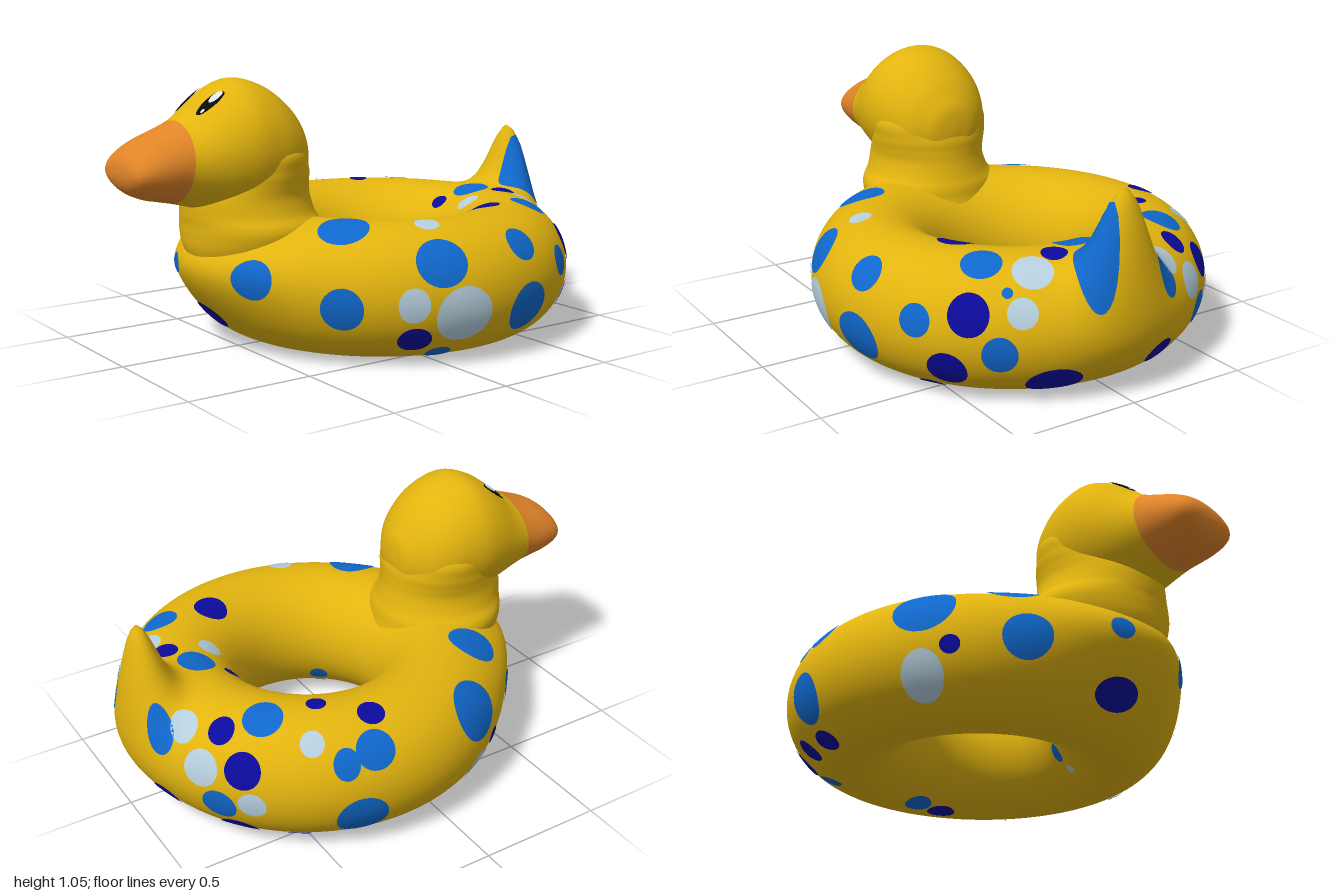
import * as THREE from 'three';
import { mergeVertices } from 'three/addons/utils/BufferGeometryUtils.js';

const RING_X = 0.18, RING_R = 0.53, TUBE = 0.255, TUBE_Y = 0.26;
const RAD = Math.PI / 180;
const bell = (d, width) => Math.exp(-((d / width) ** 2));

// Ring body: u runs around the ring (0 = tail), v around the tube (0 = outside, 90 = top)
function ringPoint(u, v) {
  const turn = Math.atan2(Math.sin(u), Math.cos(u));
  const fromFront = Math.PI - Math.abs(turn);
  const deg = Math.atan2(Math.sin(v), Math.cos(v)) / RAD;
  const tail = bell(turn, 0.18), chest = bell(fromFront, 0.5);
  const r = RING_R + TUBE * Math.cos(v)
    + 0.035 * bell(turn, 0.3) * bell(deg - 10, 35)
    + 0.12 * chest * bell(deg - 25, 40);
  const y = TUBE_Y + TUBE_Y * Math.sin(v) + 0.34 * tail * bell(deg - 42, deg < 42 ? 28 : 22);
  return new THREE.Vector3(RING_X + r * Math.cos(u), y, -r * Math.sin(u));
}

// Sections along the head: x, top, bottom, half width
const HEAD = [
  [-0.215, 0.74, 0.74, 0], [-0.225, 0.82, 0.66, 0.08], [-0.25, 0.87, 0.62, 0.13],
  [-0.3, 0.94, 0.56, 0.19], [-0.38, 1.005, 0.54, 0.232], [-0.46, 1.04, 0.53, 0.25],
  [-0.53, 1.047, 0.53, 0.255], [-0.6, 1.02, 0.54, 0.243], [-0.66, 0.98, 0.555, 0.225],
  [-0.72, 0.935, 0.575, 0.205], [-0.78, 0.9, 0.592, 0.188], [-0.85, 0.867, 0.605, 0.18],
  [-0.9, 0.845, 0.615, 0.173], [-0.95, 0.815, 0.635, 0.16], [-0.98, 0.785, 0.66, 0.138],
  [-0.995, 0.755, 0.69, 0.095], [-1.0, 0.72, 0.72, 0],
];
// Sections up the neck: y, back x, front x, half width
const NECK = [
  [0.3, -0.2, -0.66, 0.2], [0.4, -0.16, -0.7, 0.27], [0.46, -0.168, -0.708, 0.29],
  [0.5, -0.175, -0.71, 0.285], [0.54, -0.19, -0.715, 0.256], [0.6, -0.205, -0.715, 0.238],
  [0.65, -0.21, -0.69, 0.24], [0.7, -0.215, -0.66, 0.245], [0.78, -0.25, -0.6, 0.235],
  [0.86, -0.35, -0.5, 0.1],
];

// Smooth interpolation of a section table; t counts in rows
function sections(table) {
  const n = table.length - 1;
  const along = new THREE.CatmullRomCurve3(table.map(s => new THREE.Vector3(s[0], 0, 0)), false, 'catmullrom');
  const size = new THREE.CatmullRomCurve3(table.map(s => new THREE.Vector3(s[1], s[2], s[3])), false, 'catmullrom');
  return t => {
    const k = THREE.MathUtils.clamp(t / n, 0, 1), s = size.getPoint(k);
    return [along.getPoint(k).x, (s.x + s.y) / 2, (s.x - s.y) / 2, s.z];
  };
}
const headSection = sections(HEAD), neckSection = sections(NECK);

function headPoint(t, a) {
  const [x, mid, half, wide] = headSection(t);
  const y = mid + half * Math.cos(a);
  return new THREE.Vector3(x + 0.1 * (y - 0.74) * bell(x + 0.78, 0.08), y, wide * Math.sin(a));
}
function neckPoint(t, a) {
  const [y, mid, half, wide] = neckSection(t);
  return new THREE.Vector3(mid + half * Math.cos(a), y, wide * Math.sin(a));
}

// Closed grid over a surface rule, welded for smooth normals
function surface(rule, a1, na, nb) {
  const pos = [], index = [], row = nb + 1;
  for (let i = 0; i <= na; i++)
    for (let j = 0; j <= nb; j++)
      pos.push(...rule((a1 * i) / na, (2 * Math.PI * j) / nb).toArray());
  for (let i = 0; i < na; i++)
    for (let j = 0; j < nb; j++) {
      const p = i * row + j, q = p + row;
      index.push(p, q, q + 1, p, q + 1, p + 1);
    }
  let g = new THREE.BufferGeometry();
  g.setAttribute('position', new THREE.Float32BufferAttribute(pos, 3));
  g.setIndex(index);
  g = mergeVertices(g, 1e-5);
  g.computeVertexNormals();
  return g;
}

// Thin oval of paint that follows a surface rule
function patch(rule, a0, b0, ra, rb, lift = 0.004) {
  const rings = 5, segs = 28, pos = [], index = [], e = 1e-3;
  const lifted = (a, b) => {
    const da = rule(a + e, b).sub(rule(a - e, b)), db = rule(a, b + e).sub(rule(a, b - e));
    return rule(a, b).addScaledVector(da.cross(db).normalize(), lift);
  };
  pos.push(...lifted(a0, b0).toArray());
  for (let k = 1; k <= rings; k++)
    for (let s = 0; s < segs; s++) {
      const q = (2 * Math.PI * s) / segs, f = k / rings;
      pos.push(...lifted(a0 + ra * f * Math.cos(q), b0 + rb * f * Math.sin(q)).toArray());
    }
  for (let s = 0; s < segs; s++) {
    const n = (s + 1) % segs;
    index.push(0, 1 + s, 1 + n);
    for (let k = 0; k < rings - 1; k++) {
      const p = 1 + k * segs, q = p + segs;
      index.push(p + s, q + s, q + n, p + s, q + n, p + n);
    }
  }
  const g = new THREE.BufferGeometry();
  g.setAttribute('position', new THREE.Float32BufferAttribute(pos, 3));
  g.setIndex(index);
  g.computeVertexNormals();
  return g;
}

// Ways to place a spot on the ring
const clampUnit = n => THREE.MathUtils.clamp(n, -1, 1);
const PLACE = {
  angle: (u, v) => [u * RAD, v * RAD],
  top: (x, z) => [Math.atan2(-z, x - RING_X), Math.acos(clampUnit((Math.hypot(x - RING_X, z) - RING_R) / TUBE))],
  front: (x, y) => {
    const v = Math.asin(clampUnit((y - TUBE_Y) / TUBE_Y));
    return [-Math.acos(clampUnit((x - RING_X) / (RING_R + TUBE * Math.cos(v)))), v];
  },
  back: (z, y) => {
    const v = Math.asin(clampUnit((y - TUBE_Y) / TUBE_Y));
    return [Math.asin(clampUnit(-z / (RING_R + TUBE * Math.cos(v)))), v];
  },
};

// Spots per colour: two coordinates, then radius around the ring and around the tube
const SPOTS = {
  blue: {
    front: [[-0.385, 0.235, 0.08, 0.08], [-0.055, 0.4, 0.1, 0.095], [0.325, 0.425, 0.07, 0.07],
      [0.585, 0.32, 0.06, 0.06], [0.33, 0.185, 0.105, 0.1], [0.815, 0.22, 0.065, 0.07],
      [-0.015, 0.04, 0.05, 0.05], [0.925, 0.38, 0.042, 0.045], [0.78, 0.43, 0.02, 0.02]],
    top: [[-0.28, 0.41, 0.095, 0.095], [0.64, 0.42, 0.075, 0.075], [0.66, 0.04, 0.075, 0.075],
      [0.62, -0.42, 0.075, 0.08], [0.32, -0.71, 0.075, 0.075], [-0.17, -0.66, 0.12, 0.12],
      [-0.345, -0.38, 0.095, 0.095]],
    back: [[-0.185, 0.38, 0.057, 0.06], [-0.44, 0.21, 0.07, 0.065], [-0.74, 0.17, 0.1, 0.1],
      [-0.7, 0.4, 0.05, 0.06], [-0.35, 0.015, 0.045, 0.045]],
    angle: [[200, 15, 0.075, 0.075], [146, -1, 0.09, 0.085], [170, 15, 0.045, 0.04],
      [-10, -107, 0.06, 0.05], [232, -148, 0.04, 0.04], [-9, 42, 0.068, 0.135]],
  },
  navy: {
    front: [[0.73, 0.36, 0.075, 0.078], [-0.145, 0.11, 0.065, 0.06], [0.665, 0.14, 0.075, 0.08],
      [0.525, 0.03, 0.055, 0.06]],
    top: [[0.42, 0.39, 0.07, 0.07], [0.73, 0.17, 0.05, 0.05], [0.545, -0.03, 0.035, 0.035],
      [0.76, -0.36, 0.05, 0.055], [0.42, -0.46, 0.038, 0.038], [0.27, -0.6, 0.052, 0.052]],
    back: [[0.25, 0.085, 0.105, 0.085], [-0.5, 0.37, 0.07, 0.07], [-0.175, 0.125, 0.065, 0.06],
      [-0.44, 0.08, 0.075, 0.065], [-0.57, 0.05, 0.055, 0.055]],
    angle: [[126, -8, 0.038, 0.035], [175, -33, 0.1, 0.06], [72, -60, 0.06, 0.05], [-25, -100, 0.06, 0.045]],
  },
  pale: {
    front: [[-0.175, 0.25, 0.06, 0.065], [0.015, 0.2, 0.115, 0.11], [0.84, 0.37, 0.055, 0.055]],
    top: [[-0.01, 0.56, 0.048, 0.045], [0.77, 0.29, 0.075, 0.075], [0.55, 0.15, 0.045, 0.05],
      [0.85, -0.24, 0.055, 0.06], [0.52, -0.6, 0.045, 0.05]],
    back: [[-0.37, 0.345, 0.07, 0.07], [-0.545, 0.24, 0.055, 0.052]],
    angle: [[118, -32, 0.08, 0.1], [232, -129, 0.025, 0.02]],
  },
};

export function createModel() {
  const group = new THREE.Group();
  group.name = 'poolRing';
  const material = (name, color) => {
    const m = new THREE.MeshStandardMaterial({ color });
    m.name = name;
    return m;
  };
  const yellow = material('yellow', 0xe2b40f), orange = material('orange', 0xe08428);
  const black = material('black', 0x0a0a0a);
  const paint = {
    blue: material('blue', 0x1068cc), navy: material('navy', 0x0c0a9c), pale: material('paleBlue', 0xb6cfdd),
  };
  const white = material('white', 0xe4e8ea);
  const add = (name, geometry, mat, parent = group) => {
    const mesh = new THREE.Mesh(geometry, mat);
    mesh.name = name;
    parent.add(mesh);
  };

  // Body with tail, then neck
  add('ringBodyAndTail', surface(ringPoint, 2 * Math.PI, 216, 72), yellow);
  add('neck', surface(neckPoint, NECK.length - 1, 54, 64), yellow);

  // Head and beak share one surface, split at the beak line
  const rows = (HEAD.length - 1) * 5, sides = 64, split = 10 * 5 * sides * 6;
  const head = surface(headPoint, HEAD.length - 1, rows, sides);
  head.addGroup(0, split, 0);
  head.addGroup(split, head.index.count - split, 1);
  add('headAndBeak', head, [yellow, orange]);

  // Eyes with highlights, mirrored
  for (const side of [1, -1]) {
    const eye = new THREE.Group();
    eye.name = side > 0 ? 'leftEye' : 'rightEye';
    add('pupil', patch(headPoint, 8.0, side * 0.39, 1.0, 0.125), black, eye);
    add('highlight', patch(headPoint, 7.55, side * 0.38, 0.48, 0.07, 0.007), white, eye);
    add('smallHighlight', patch(headPoint, 8.6, side * 0.44, 0.16, 0.03, 0.007), white, eye);
    group.add(eye);
  }

  // Painted spots
  const spots = new THREE.Group();
  spots.name = 'spots';
  for (const [colour, places] of Object.entries(SPOTS))
    for (const [place, list] of Object.entries(places))
      for (const [a, b, ru, rv] of list) {
        const [u, v] = PLACE[place](a, b);
        const r = RING_R + TUBE * Math.cos(v);
        add(colour + 'Spot', patch(ringPoint, u, v, ru / r, rv / TUBE), paint[colour], spots);
      }
  group.add(spots);
  return group;
}
